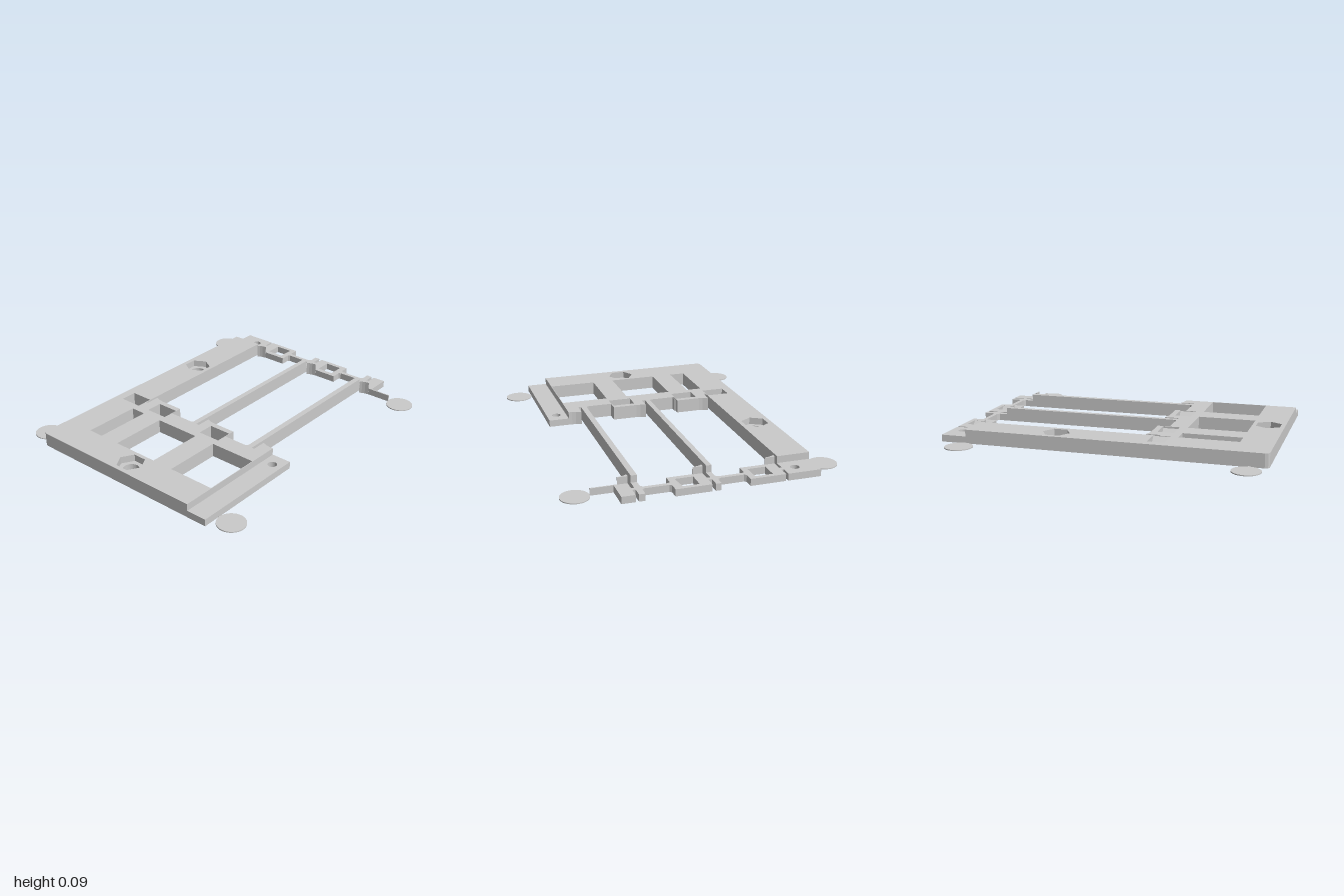
import * as THREE from 'three';

const LOW = 0.043, HIGH = 0.086, THIN = 0.006;

export function createModel() {
  const model = new THREE.Group();
  const gray = new THREE.MeshStandardMaterial({ color: 0xcacaca });
  gray.name = 'gray plastic';

  const add = (name, geometry) => {
    const mesh = new THREE.Mesh(geometry, gray);
    mesh.name = name;
    model.add(mesh);
    return mesh;
  };
  // Plan points are [x, z]; reversed so outlines and hole walls face the right way.
  const toPoints = (pts) => pts.map(([x, z]) => new THREE.Vector2(x, -z)).reverse();
  const slab = (name, outline, holes, y0, y1) => {
    const shape = new THREE.Shape(toPoints(outline));
    holes.forEach((h) => shape.holes.push(new THREE.Path(toPoints(h))));
    const geo = new THREE.ExtrudeGeometry(shape, { depth: y1 - y0, bevelEnabled: false });
    geo.rotateX(-Math.PI / 2).translate(0, y0, 0);
    add(name, geo);
  };
  const rect = (x0, x1, z0, z1) => [[x0, z0], [x1, z0], [x1, z1], [x0, z1]];
  const ring = (x, z, r, n, turn = 0) => Array.from({ length: n }, (_, i) => {
    const a = turn + (i / n) * Math.PI * 2;
    return [x + r * Math.cos(a), z + r * Math.sin(a)];
  });
  // 45 degree ramp closing the front side of a window, rising to height h
  const ramp = (name, x0, x1, zEnd, h) => {
    const s = new THREE.Shape([new THREE.Vector2(0, 0), new THREE.Vector2(h, 0), new THREE.Vector2(0, h)]);
    const geo = new THREE.ExtrudeGeometry(s, { depth: x1 - x0, bevelEnabled: false });
    geo.rotateY(Math.PI / 2).translate(x0, 0, zEnd);
    add(name, geo);
  };

  // Frame outline: tabs on the inner edge flare out at their back corner
  const flare = (z) => [[-0.322, z], [-0.232, z], [-0.239, z + 0.02], [-0.244, z + 0.035], [-0.247, z + 0.06]];
  const frame = (xMax, zMax) => [
    [-1, -0.635], [-0.993, -0.65], [-0.975, -0.657], [xMax, -0.657], [xMax, -0.452], [-0.322, -0.452],
    ...flare(-0.437), [-0.247, -0.221], [-0.322, -0.221],
    ...flare(0.007), [-0.247, 0.223], [-0.322, 0.223],
    ...flare(0.447), [-0.247, zMax], [-1, zMax],
  ];
  const windowEnds = [[-0.6, -0.455], [-0.367, -0.224], [0.073, 0.22]];
  const openings = [
    rect(-0.8, -0.437, -0.457, -0.357),
    rect(-0.8, -0.437, -0.221, 0.081),
    rect(-0.8, -0.437, 0.223, 0.525),
    ...windowEnds.map(([a, b]) => rect(-0.387, -0.283, a, b)),
  ];
  const bores = [[0.292, -0.553, 0.048], [-0.898, -0.006, 0.048], [0.923, -0.527, 0.028], [-0.335, 0.594, 0.028]];
  slab('frameLowerLayer', frame(1, 0.657),
    [...openings, ...bores.map(([x, z, r]) => ring(x, z, r, 32))], 0, LOW);
  // Upper layer with the hexagonal nut recesses
  slab('frameUpperLayer', frame(0.842, 0.529), [
    ...openings,
    ring(0.292, -0.553, 0.085, 6),
    ring(-0.898, -0.006, 0.085, 6, Math.PI / 6),
  ], LOW, HIGH);
  [-0.452, -0.213, 0.224].forEach((z) => ramp('frameWindowRamp', -0.387, -0.283, z, HIGH - 0.0005));

  // Long crossing bars, stepped down at the clip side
  [[-0.047, -0.014], [0.393, 0.429]].forEach(([a, b]) => {
    slab('crossBar', [[-0.322, a - 0.015], [-0.317, a - 0.005], [-0.307, a], [0.842, a], [0.842, b], [-0.322, b]], [], 0, HIGH);
    slab('crossBarEnd', rect(0.842, 1, a, b), [], 0, LOW);
  });

  // Low clips on the left side, each with a tall flared corner post
  [[-0.437, -0.221, -0.367], [0.007, 0.222, 0.073], [0.447, 0.528, null]].forEach(([a, b, w]) => {
    const holes = w === null ? [] : [rect(0.869, 0.973, w, w + 0.11)];
    slab('clip', rect(0.838, 1, a, b), holes, 0, LOW);
    if (w !== null) ramp('clipRamp', 0.869, 0.973, w + 0.11, LOW - 0.0005);
    slab('clipPost', [[0.817, a], [0.842, a], [0.842, a + 0.06], [0.837, a + 0.06], [0.833, a + 0.035], [0.826, a + 0.015]],
      [], 0, HIGH);
  });

  // Narrow necks joining the clips and bars, widened at their roots
  [[-0.221, -0.047], [0.222, 0.393]].forEach(([a, b]) => slab('neck', [
    [0.9, a], [0.943, a], [0.934, a + 0.012], [0.934, b - 0.015], [0.946, b],
    [0.896, b], [0.909, b - 0.015], [0.909, a + 0.012],
  ], [], 0, LOW));
  [[-0.452, -0.437], [-0.014, 0.007], [0.429, 0.447]].forEach(([a, b]) =>
    slab('shortNeck', rect(0.909, 0.934, a, b), [], 0, LOW));

  // Thin round corner pads with their tie strips
  [-0.888, 0.842].forEach((x) => {
    [-0.749, 0.747].forEach((z) => {
      const pad = add('cornerPad', new THREE.CylinderGeometry(0.085, 0.085, THIN, 48));
      pad.position.set(x, THIN / 2, z);
    });
    slab('backPadTie', rect(x - 0.004, x + 0.004, -0.67, -0.657), [], 0, THIN);
  });
  slab('frontPadTie', rect(-0.892, -0.884, 0.657, 0.668), [], 0, THIN);
  slab('clipPadTie', rect(0.838, 0.846, 0.528, 0.663), [], 0, LOW);
  return model;
}
